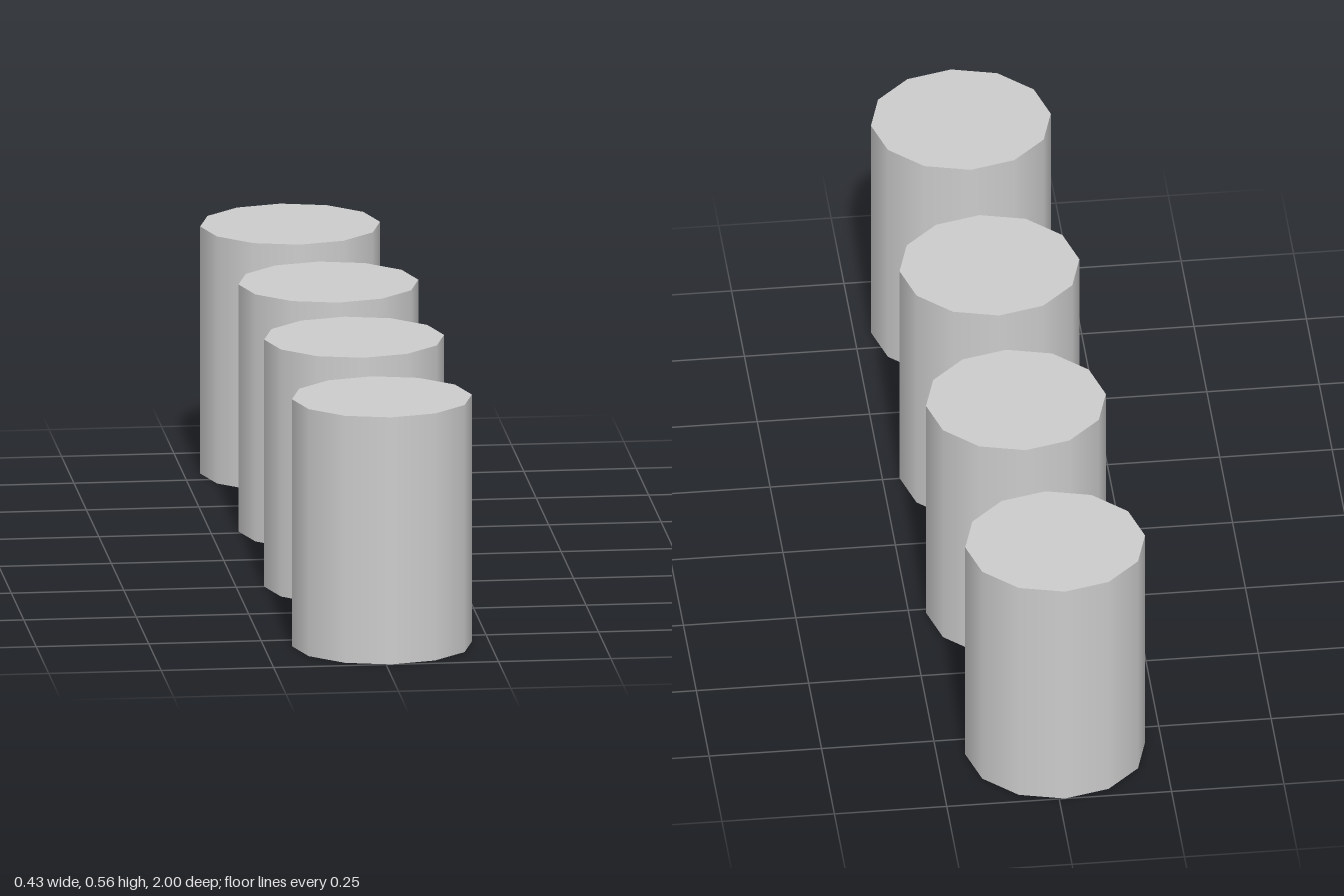
import * as THREE from 'three';

export function createModel() {
  const group = new THREE.Group();
  group.name = 'pillarRow';
  const material = new THREE.MeshStandardMaterial({ color: 0xcccccc });

  // Twelve-sided pillar, slightly wider in x than in z
  const height = 0.562;
  const geometry = new THREE.CylinderGeometry(1, 1, height, 12);
  geometry.scale(0.2, 1, 0.192);
  geometry.translate(0, height / 2, 0);

  // Centres [x, z] from front to back; the last stands a little to the side
  const centres = [[0.012, 0.808], [0.012, 0.251], [0.012, -0.264], [-0.013, -0.808]];
  centres.forEach(([x, z], i) => {
    const pillar = new THREE.Mesh(geometry, material);
    pillar.name = `pillar${i + 1}`;
    pillar.position.set(x, 0, z);
    group.add(pillar);
  });
  return group;
}
